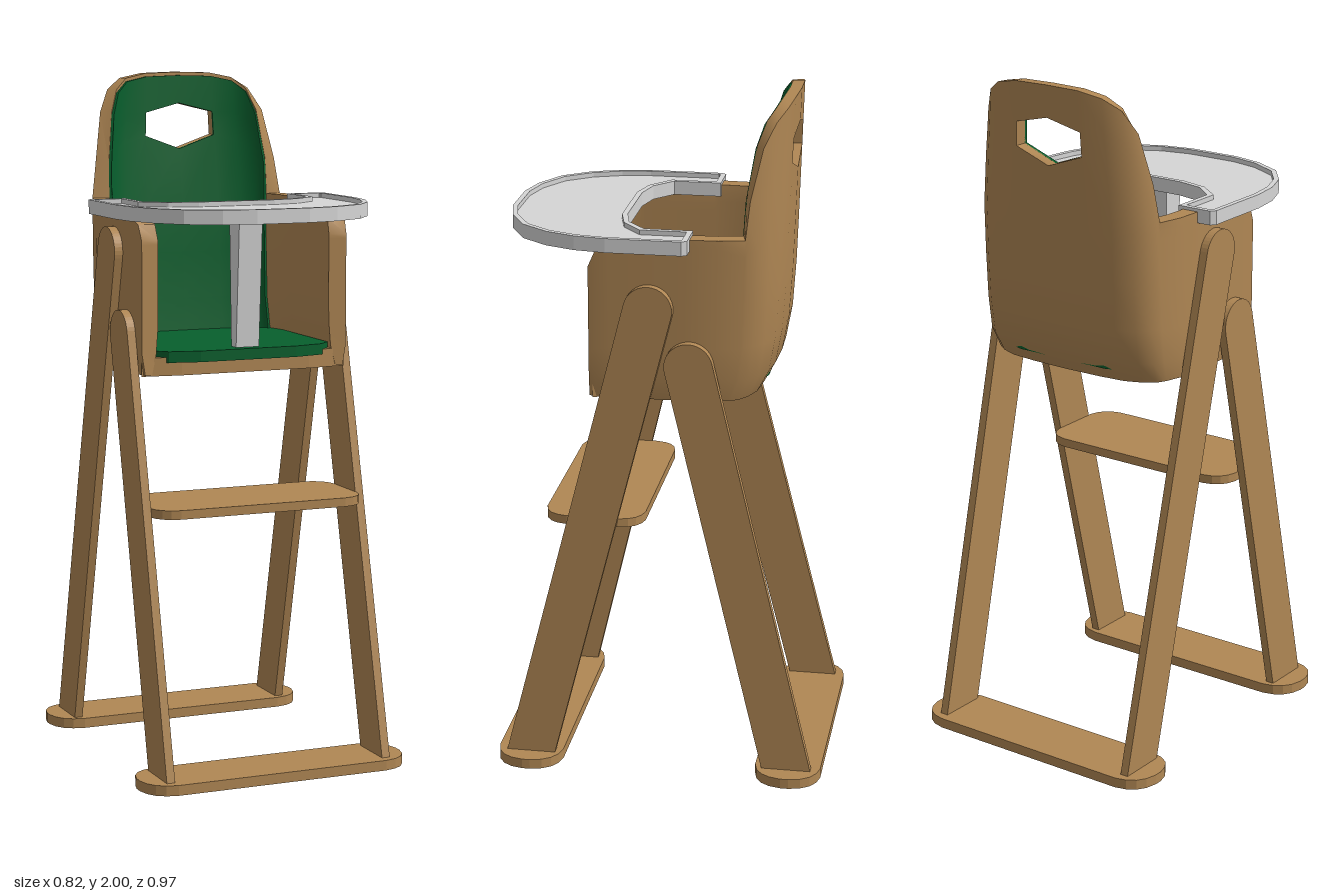
import * as THREE from 'three';
import { toCreasedNormals } from 'three/addons/utils/BufferGeometryUtils.js';

const wood = new THREE.MeshStandardMaterial({ color: 0xb08754 });
wood.name = 'wood';
const green = new THREE.MeshStandardMaterial({ color: 0x075f2d });
green.name = 'green cushion';
const grey = new THREE.MeshStandardMaterial({ color: 0xd6d6d6 });
grey.name = 'grey plastic';

const add = (parent, name, geometry, material) => {
  const mesh = new THREE.Mesh(geometry, material);
  mesh.name = name;
  parent.add(mesh);
  return mesh;
};

// Piecewise linear lookup in [key, value] pairs
const lookup = (table, v) => {
  for (let i = 1; i < table.length; i++) {
    const [a, fa] = table[i - 1], [b, fb] = table[i];
    if (v <= b) return fa + (fb - fa) * Math.max(0, (v - a) / (b - a));
  }
  return table[table.length - 1][1];
};

// Horizontal plate from an (x, z) shape
const plate = (shape, y0, y1) =>
  new THREE.ExtrudeGeometry(shape, { depth: y1 - y0, bevelEnabled: false, curveSegments: 4 })
    .rotateX(Math.PI / 2).translate(0, y1, 0);

// Upright slab from a (z, y) shape, spanning x0 to x1
const slab = (shape, x0, x1) =>
  new THREE.ExtrudeGeometry(shape, { depth: x1 - x0, bevelEnabled: false, curveSegments: 10 })
    .rotateY(-Math.PI / 2).translate(x1, 0, 0);

const polygon = pts => new THREE.Shape(pts.map(p => new THREE.Vector2(...p)));
// Completes a right-hand outline with its mirror image
const mirrored = half => [...half, ...half.slice().reverse().map(([x, z]) => [-x, z])];
const ring = (outer, inner) => {
  outer.holes.push(inner);
  return outer;
};

// Rectangle with soft corners of radius r
const roundedRect = (w, z0, z1, r) => {
  const s = new THREE.Shape();
  s.moveTo(-w + r, z0);
  s.lineTo(w - r, z0);
  s.quadraticCurveTo(w - r * 0.1, z0 + r * 0.1, w, z0 + r);
  s.lineTo(w, z1 - r);
  s.quadraticCurveTo(w - r * 0.1, z1 - r * 0.1, w - r, z1);
  s.lineTo(-w + r, z1);
  s.quadraticCurveTo(-w + r * 0.1, z1 - r * 0.1, -w, z1 - r);
  s.lineTo(-w, z0 + r);
  s.quadraticCurveTo(-w + r * 0.1, z0 + r * 0.1, -w + r, z0);
  return s;
};

// Shell columns from the middle of the back to the front of an arm: x, z, top y
const halfColumns = [
  [0, -0.347, 2.0], [0.122, -0.343, 1.997], [0.205, -0.333, 1.983], [0.258, -0.308, 1.95],
  [0.29, -0.28, 1.885], [0.302, -0.252, 1.74], [0.305, -0.244, 1.632], [0.322, -0.17, 1.632],
  [0.325, -0.085, 1.632], [0.325, -0.07, 1.6], [0.325, 0.14, 1.6], [0.323, 0.18, 1.585], [0.32, 0.2, 1.54],
];
const scaleX = [[1.155, 0.97], [1.2, 1], [1.63, 1], [1.87, 0.91], [2, 0.87]];
const scaleZ = [[1.155, 0.8], [1.2, 0.89], [1.3, 0.95], [1.45, 0.98], [1.65, 1], [2, 1.035]];
const thickness = [[1.155, 0.022], [1.2, 0.045], [1.3, 0.053], [1.6, 0.053], [1.75, 0.038], [2, 0.034]];

// Curved wall with a handle hole: the full shell, or a thin lining on its inner face
function wall(count, lining, bottom, trim) {
  const cols = [];
  for (let i = -halfColumns.length + 1; i < halfColumns.length; i++) {
    const [x, z, t] = halfColumns[Math.abs(i)];
    cols.push({ i, x: Math.sign(i) * x, z, t: t - trim });
  }
  cols.forEach((c, k) => {
    const a = cols[Math.max(0, k - 1)], b = cols[Math.min(cols.length - 1, k + 1)];
    const tx = b.x - a.x, tz = b.z - a.z, l = Math.hypot(tx, tz);
    c.nx = -tz / l;
    c.nz = tx / l;
    const n = Math.abs(c.i), mid = Math.min(1.6, c.t - 0.05);
    const hole = n === 0 ? [1.77, 1.907] : n === 1 ? [1.81, 1.88]
      : [mid + (c.t - mid) * 0.5, mid + (c.t - mid) * 0.75];
    const low = [0.05, 0.3, 0.65].map(f => 1.2 + (mid - 1.2) * f);
    c.ys = [bottom, ...low, mid, ...hole, c.t];
  });
  const used = cols.filter(c => Math.abs(c.i) < count);
  const point = (c, j, inside) => {
    const y = c.ys[j], z = c.z < 0 ? c.z * lookup(scaleZ, y) : c.z;
    const depth = lookup(thickness, y);
    const off = lining ? depth + (inside ? 0.008 : -0.003) : inside ? depth : 0;
    return [c.x * lookup(scaleX, y) + c.nx * off, y, z + c.nz * off];
  };
  const rows = used[0].ys.length - 1;
  const solid = (k, j) => k >= 0 && j >= 0 && k < used.length - 1 && j < rows
    && !(j === 5 && (used[k].i === -1 || used[k].i === 0));
  const pos = [];
  const quad = (a, b, c, d) => pos.push(...a, ...b, ...c, ...a, ...c, ...d);
  for (let k = 0; k < used.length - 1; k++) for (let j = 0; j < rows; j++) {
    if (!solid(k, j)) continue;
    const corners = [[k, j], [k + 1, j], [k + 1, j + 1], [k, j + 1]];
    const inner = corners.map(([a, b]) => point(used[a], b, true));
    const outer = corners.map(([a, b]) => point(used[a], b, false));
    quad(...inner);
    quad(outer[0], outer[3], outer[2], outer[1]);
    // Close the edge wherever the neighbouring cell is missing
    [[k, j - 1], [k + 1, j], [k, j + 1], [k - 1, j]].forEach((nb, e) => {
      const f = (e + 1) % 4;
      if (!solid(...nb)) quad(inner[f], inner[e], outer[e], outer[f]);
    });
  }
  const g = new THREE.BufferGeometry();
  g.setAttribute('position', new THREE.Float32BufferAttribute(pos, 3));
  return toCreasedNormals(g, 0.8);
}

// Slanted leg with a round top
function leg(side, zb, zt, yt) {
  const angle = Math.atan2(yt - 0.03, zt - zb) - Math.PI / 2;
  const s = new THREE.Shape();
  s.moveTo(zb - 0.0725, 0.024);
  s.lineTo(zb + 0.0725, 0.024);
  s.absarc(zt, yt, 0.07, angle, angle + Math.PI, false);
  return side > 0 ? slab(s, 0.325, 0.35) : slab(s, -0.35, -0.325);
}

export function createModel() {
  const model = new THREE.Group();
  model.name = 'highChair';

  // Folding frame: the two sides cross the opposite way round
  const frame = new THREE.Group();
  frame.name = 'frame';
  model.add(frame);
  add(frame, 'frontLegLeft', leg(1, 0.385, 0.026, 1.427), wood);
  add(frame, 'backLegLeft', leg(1, -0.385, -0.09, 1.265), wood);
  add(frame, 'frontLegRight', leg(-1, 0.385, 0.09, 1.265), wood);
  add(frame, 'backLegRight', leg(-1, -0.385, -0.008, 1.497), wood);
  // Foot bars, hollow underneath
  for (const s of [1, -1]) {
    const name = s > 0 ? 'frontFootBar' : 'backFootBar';
    const outline = inset => roundedRect(0.41 - inset, s * 0.387 - 0.097 + inset, s * 0.387 + 0.097 - inset, 0.085);
    add(frame, name, plate(outline(0), 0.02, 0.03), wood);
    add(frame, name + 'Rim', plate(ring(outline(0), outline(0.012)), 0, 0.02), wood);
  }
  add(frame, 'footrest', plate(roundedRect(0.327, 0.048, 0.34, 0.07), 0.76, 0.786), wood);

  // Seat shell, front lip and green lining
  const seat = new THREE.Group();
  seat.name = 'seat';
  model.add(seat);
  add(seat, 'shell', wall(halfColumns.length, false, 1.155, 0), wood);
  const lip = [[0.3, 0.15], [0.318, 0.19], [0.2, 0.205]];
  add(seat, 'frontLip', plate(polygon(mirrored(lip)), 1.152, 1.205), wood);
  add(seat, 'backCushion', wall(6, true, 1.2, 0.01), green);
  const base = [[0.15, -0.295], [0.23, -0.27], [0.275, -0.2], [0.275, 0.17], [0.24, 0.205], [0.15, 0.225]];
  add(seat, 'seatCushion', plate(polygon(mirrored(base)), 1.19, 1.222), green);

  // Tray with a rim standing above and below its floor, held by a post
  const tray = new THREE.Group();
  tray.name = 'tray';
  model.add(tray);
  const edge = [
    [0.115, 0.122], [0.197, 0.103], [0.26, 0.05], [0.26, -0.09], [0.367, -0.09], [0.378, -0.075],
    [0.378, 0.14], [0.365, 0.23], [0.332, 0.315], [0.27, 0.395], [0.175, 0.445], [0.08, 0.466],
  ];
  const inset = [
    [0.12, 0.138], [0.205, 0.117], [0.276, 0.06], [0.276, -0.074], [0.358, -0.074], [0.363, -0.068],
    [0.363, 0.14], [0.35, 0.225], [0.319, 0.307], [0.261, 0.382], [0.17, 0.431], [0.08, 0.451],
  ];
  add(tray, 'trayFloor', plate(polygon(mirrored(inset)), 1.612, 1.627), grey);
  add(tray, 'trayRim', plate(ring(polygon(mirrored(edge)), polygon(mirrored(inset))), 1.6, 1.641), grey);
  const post = [[0.165, 1.615], [0.18, 1.225], [0.215, 1.225], [0.24, 1.615]];
  add(tray, 'trayPost', slab(polygon(post), -0.036, 0.036), grey);

  return model;
}
